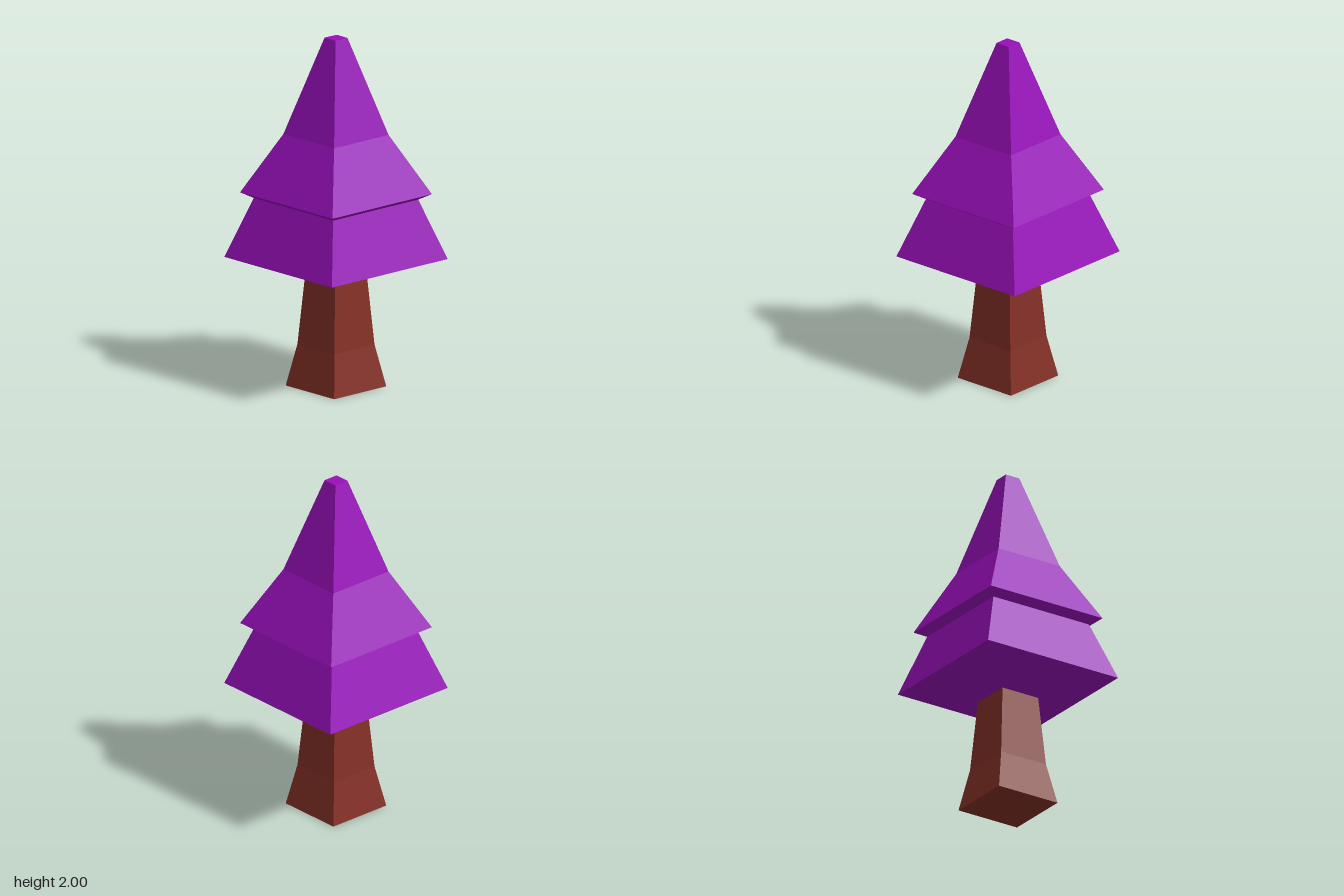
import * as THREE from 'three';

// Square-section solid from a profile of [half width, height], bottom to top
function squareLoft(name, profile, material) {
  const points = profile.map(([half, y]) => new THREE.Vector2(half * Math.SQRT2, y));
  const mesh = new THREE.Mesh(new THREE.LatheGeometry(points, 4, Math.PI / 4), material);
  mesh.name = name;
  return mesh;
}

export function createModel() {
  const bark = new THREE.MeshStandardMaterial({ name: 'bark brown', color: 0x843026, flatShading: true });
  const leaves = new THREE.MeshStandardMaterial({ name: 'foliage purple', color: 0x970fb9, flatShading: true });

  const tree = new THREE.Group();
  tree.name = 'tree';

  // Trunk flaring at the foot
  tree.add(squareLoft('trunk', [[0, 0], [0.197, 0], [0.151, 0.24], [0.12, 0.65]], bark));

  // Lower skirt with its sloping underside
  tree.add(squareLoft('lowerFoliage', [[0.12, 0.65], [0.438, 0.735], [0.322, 1.075]], leaves));

  // Upper tier, overhanging the skirt and tapering to a blunt tip
  tree.add(squareLoft('upperFoliage',
    [[0.322, 1.075], [0.376, 1.107], [0.206, 1.445], [0.045, 2], [0, 2]], leaves));

  return tree;
}
